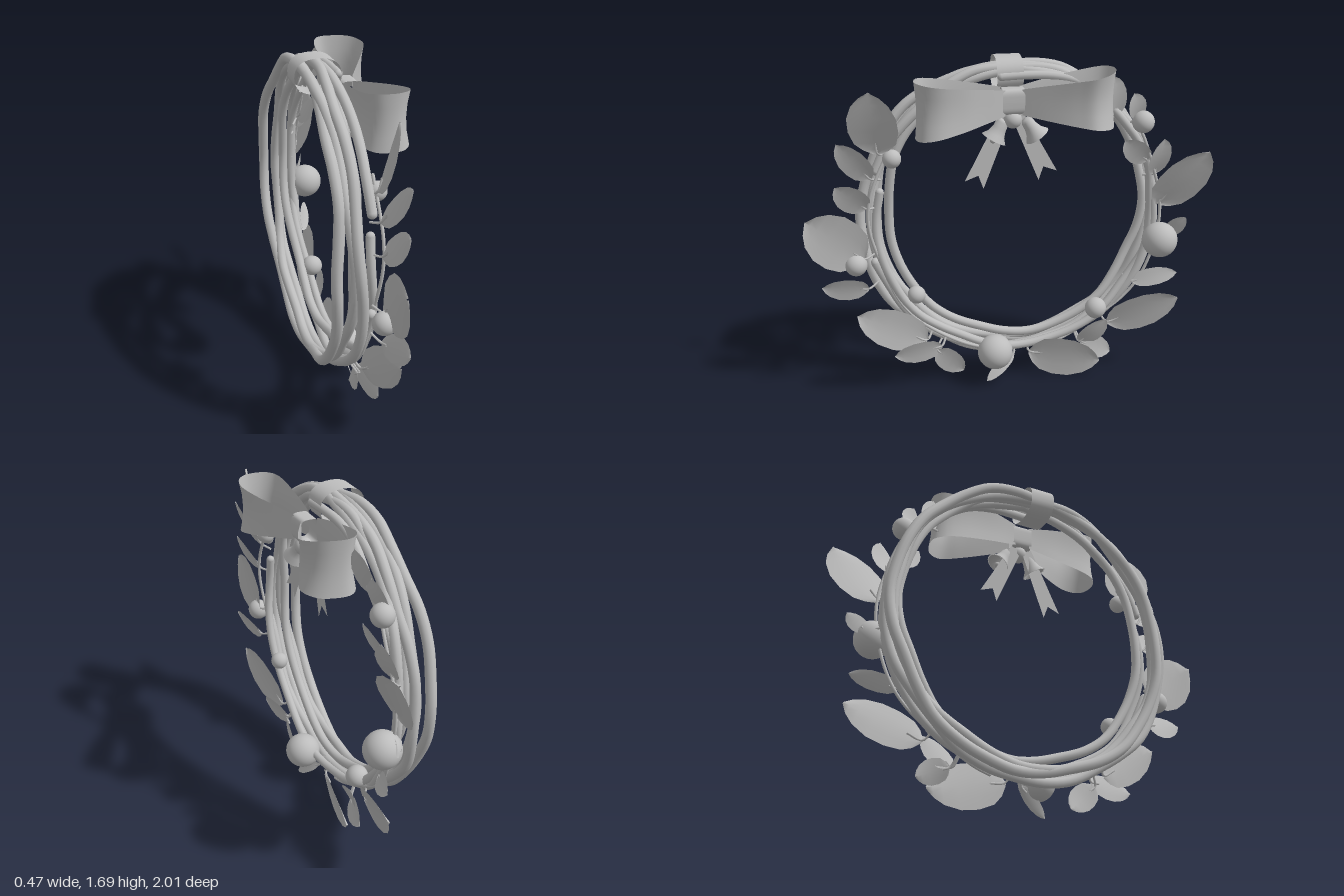
import * as THREE from 'three';

const grey = new THREE.MeshStandardMaterial({ color: 0xbdbdbd, side: THREE.DoubleSide });
grey.name = 'plain grey';
const V = (x, y, z) => new THREE.Vector3(x, y, z);

function add(parent, name, geometry) {
  const mesh = new THREE.Mesh(geometry, grey);
  mesh.name = name;
  parent.add(mesh);
  return mesh;
}

// Surface through equal-length rows of points
function loft(rows) {
  const n = rows[0].length, index = [];
  for (let i = 0; i < rows.length - 1; i++) {
    for (let j = 0; j < n - 1; j++) {
      const a = i * n + j, b = a + n;
      index.push(a, b, a + 1, a + 1, b, b + 1);
    }
  }
  const g = new THREE.BufferGeometry().setFromPoints(rows.flat());
  g.setIndex(index);
  g.computeVertexNormals();
  return g;
}

// Wobbly vine hoop facing +x, with rounded ends where it is left open
function addVine(parent, [x, cz, cy, rz, ry, radius, phase, from, to]) {
  const points = [], steps = 30;
  const closed = to - from > 6.28;
  for (let i = 0; i < (closed ? steps : steps + 1); i++) {
    const a = from + (to - from) * i / steps;
    const k = 1 + 0.012 * Math.sin(5 * a + phase) + 0.008 * Math.sin(9 * a + 2 * phase);
    points.push(V(x + 0.016 * Math.sin(2 * a + phase) + 0.007 * Math.sin(7 * a + phase),
      cy + ry * k * Math.sin(a), cz + rz * k * Math.cos(a)));
  }
  const curve = new THREE.CatmullRomCurve3(points, closed);
  add(parent, 'vine', new THREE.TubeGeometry(curve, 130, radius, 10, closed));
  if (!closed) {
    for (const p of [points[0], points[points.length - 1]]) {
      add(parent, 'vineEnd', new THREE.SphereGeometry(radius, 10, 8)).position.copy(p);
    }
  }
}

// Pointed oval leaf from base to tip, gently cupped and rolled about its midrib
function addLeaf(parent, [bz, by, tz, ty, width, tipX, roll]) {
  const leaf = new THREE.Group();
  leaf.name = 'leaf';
  const base = V(-0.03, by, bz), tip = V(tipX, ty, tz);
  const axis = tip.clone().sub(base);
  const side = V(1, 0, 0).cross(axis).normalize().applyAxisAngle(axis.clone().normalize(), roll);
  const normal = axis.clone().normalize().cross(side);
  const profile = [[0, 0.12], [0.07, 0.52], [0.18, 0.84], [0.38, 1], [0.6, 0.98], [0.8, 0.74], [0.92, 0.42], [1, 0.03]];
  const rows = profile.map(([t, w]) => [-1, -0.5, 0, 0.5, 1].map(s =>
    base.clone().addScaledVector(axis, t)
      .addScaledVector(side, s * w * width / 2)
      .addScaledVector(normal, 0.04 * width * s * s + 0.01 * Math.sin(t * Math.PI))));
  add(leaf, 'leafBlade', loft(rows));
  // Stalk running back into the vines
  const root = V(-0.06, 0.91 + (by - 0.91) * 0.93, -0.03 + (bz + 0.03) * 0.93);
  const stalk = new THREE.CatmullRomCurve3([root, base, base.clone().addScaledVector(axis, 0.2)]);
  add(leaf, 'leafStalk', new THREE.TubeGeometry(stalk, 8, 0.006, 6));
  parent.add(leaf);
}

// Bow loop: path in x and z, ribbon widening away from the knot, its edges flaring outwards
function addBowLoop(parent, path, centreY, tilt) {
  const curve = new THREE.CatmullRomCurve3(path.map(([x, z]) => V(x, 0, z)));
  const rows = curve.getPoints(44).map(p => {
    const t = Math.min(1, Math.abs(p.z) / 0.45);
    const half = 0.05 + 0.083 * Math.pow(t, 0.85);
    const y = centreY + tilt * t;
    return [-1, -0.5, 0, 0.5, 1].map(s => {
      const flare = 1.04 - 0.16 * t * (1 - s * s);
      return V(0.09 + (p.x - 0.09) * flare, y + s * half, p.z * (1 - 0.02 * t * (1 - s * s)));
    });
  });
  add(parent, 'bowLoop', loft(rows));
}

// Ribbon tail with a swallow-tail end
function addTail(parent, z0, y0, z1, y1, x0, x1) {
  const s = new THREE.Shape();
  const length = Math.hypot(z1 - z0, y1 - y0);
  [[-0.03, 0], [0.03, 0], [0.05, -length], [0, -length + 0.05], [-0.05, -length]]
    .forEach(([u, v], i) => i ? s.lineTo(u, v) : s.moveTo(u, v));
  const tail = add(parent, 'ribbonTail', new THREE.ShapeGeometry(s));
  const down = V(x1 - x0, y1 - y0, z1 - z0).normalize();
  const across = V(1, 0, 0).cross(down).normalize();
  const up = down.clone().negate();
  tail.quaternion.setFromRotationMatrix(new THREE.Matrix4().makeBasis(across, up, across.clone().cross(up)));
  tail.position.set(x0, y0, z0);
}

// Flared bell with clapper, hanging along its own -y
function addBell(parent, z, y, lean) {
  const bell = new THREE.Group();
  bell.name = 'bell';
  const profile = [[0, 0], [0.02, -0.002], [0.028, -0.015], [0.032, -0.045], [0.042, -0.078], [0.062, -0.105],
    [0.056, -0.105], [0.035, -0.075], [0.025, -0.04], [0, -0.01]];
  add(bell, 'bellCup', new THREE.LatheGeometry(profile.map(p => new THREE.Vector2(...p)), 24));
  add(bell, 'clapper', new THREE.SphereGeometry(0.015, 12, 8)).position.y = -0.112;
  bell.position.set(0.04, y, z);
  bell.rotation.x = lean;
  parent.add(bell);
}

export function createModel() {
  const model = new THREE.Group();
  model.name = 'wreath';
  const group = name => {
    const g = new THREE.Group();
    g.name = name;
    model.add(g);
    return g;
  };

  // Vines: x, centre z, centre y, z radius, y radius, thickness, phase, start, end
  const vines = group('vines');
  const full = Math.PI * 2;
  [
    [-0.192, -0.05, 0.9, 0.71, 0.735, 0.026, -1.3, 0, full],
    [-0.155, -0.03, 0.91, 0.705, 0.72, 0.025, 2.1, 0, full],
    [-0.12, -0.015, 0.9, 0.745, 0.75, 0.025, 3.6, 0, full],
    [-0.1, -0.045, 0.94, 0.645, 0.695, 0.023, 5.0, 0, full],
    [-0.068, -0.02, 0.9, 0.72, 0.735, 0.024, 1.2, 0.38, 6.0],
    [-0.04, -0.04, 0.91, 0.7, 0.71, 0.021, 4.3, 1.45, 6.5],
  ].forEach(v => addVine(vines, v));

  // Thin twigs carrying the leaves
  const twigs = group('twigs');
  [
    [-0.035, -0.03, 0.9, 0.715, 0.73, 0.008, 0.5, -1.4, 0.6],
    [-0.03, -0.03, 0.9, 0.74, 0.74, 0.008, 2.5, 2.45, 4.5],
  ].forEach(t => addVine(twigs, t));

  // Leaves: base z, base y, tip z, tip y, width, tip x, roll
  const leaves = group('leaves');
  [
    [0.635, 1.265, 0.665, 1.575, 0.24, 0.045, -0.3],
    [0.675, 1.14, 0.825, 1.34, 0.13, 0.05, -0.2],
    [0.7, 0.99, 0.845, 1.13, 0.14, 0.04, -0.2],
    [0.725, 0.73, 0.995, 0.94, 0.275, -0.03, 0],
    [0.71, 0.57, 0.935, 0.615, 0.13, 0.02, -0.3],
    [0.43, 0.26, 0.775, 0.46, 0.205, 0.04, 0.08],
    [0.355, 0.22, 0.6, 0.2, 0.13, 0.0, -0.25],
    [0.38, 0.2, 0.245, 0.07, 0.13, -0.03, 0.2],
    [-0.02, 0.145, 0.13, 0.02, 0.06, 0.02, 0.4],
    [-0.1, 0.15, -0.465, 0.095, 0.235, 0.03, 0.2],
    [-0.37, 0.18, -0.495, 0.33, 0.12, 0.03, 0.2],
    [-0.38, 0.18, -0.53, 0.125, 0.12, 0.0, -0.2],
    [-0.515, 0.285, -0.87, 0.43, 0.21, 0.04, 0.2],
    [-0.64, 0.51, -0.855, 0.575, 0.09, 0.05, -0.6],
    [-0.815, 0.765, -0.89, 0.87, 0.08, 0.04, -0.3],
    [-0.755, 0.93, -0.97, 1.225, 0.255, 0.085, 0.25],
    [-0.73, 1.09, -0.75, 1.29, 0.12, 0.05, 0.3],
    [-0.69, 1.16, -0.555, 1.285, 0.12, 0.03, -0.2],
    [-0.635, 1.38, -0.595, 1.515, 0.1, 0.02, 0.25],
    [-0.53, 1.4, -0.485, 1.605, 0.11, 0.04, 0.3],
  ].forEach(l => addLeaf(leaves, l));

  // Baubles and berries: x, y, z, radius
  const berries = group('berries');
  [
    [0.03, 0.755, -0.76, 0.09], [0.015, 0.185, 0.085, 0.09],
    [-0.01, 1.24, 0.57, 0.045], [-0.035, 0.7, 0.765, 0.055],
    [-0.03, 0.52, 0.475, 0.045], [-0.02, 0.375, -0.45, 0.055],
    [-0.005, 1.365, -0.655, 0.055], [0.045, 1.42, 0, 0.043],
  ].forEach(([x, y, z, r]) => {
    add(berries, r > 0.08 ? 'bauble' : 'berry', new THREE.SphereGeometry(r, 32, 20)).position.set(x, y, z);
  });

  // Bow, knot and the band tied round the vines
  const bow = group('bow');
  addBowLoop(bow, [[0, -0.04], [-0.015, -0.2], [0, -0.42], [0.05, -0.475], [0.14, -0.465], [0.2, -0.425],
    [0.228, -0.36], [0.2, -0.28], [0.14, -0.16], [0.075, -0.04]], 1.505, 0.015);
  addBowLoop(bow, [[0, 0.04], [-0.01, 0.2], [0, 0.41], [0.05, 0.455], [0.13, 0.46], [0.18, 0.425],
    [0.198, 0.36], [0.17, 0.25], [0.12, 0.14], [0.075, 0.04]], 1.505, -0.01);
  const ringStrip = (cx, cy, rx, ry, half, power) => loft(Array.from({ length: 37 }, (_, i) => {
    const a = i / 36 * full;
    const round = v => Math.sign(v) * Math.pow(Math.abs(v), power);
    return [-half, 0, half].map(z => V(cx + rx * round(Math.cos(a)), cy + ry * round(Math.sin(a)), z));
  }));
  add(bow, 'vineBand', ringStrip(-0.122, 1.61, 0.112, 0.084, 0.063, 0.85));
  add(bow, 'knot', ringStrip(0.037, 1.508, 0.046, 0.062, 0.052, 0.5));
  addTail(bow, 0.03, 1.43, 0.185, 1.1, 0.01, 0.03);
  addTail(bow, -0.03, 1.43, -0.175, 1.13, 0.01, 0.03);

  // Pair of bells under the knot
  const bells = group('bells');
  addBell(bells, 0.04, 1.42, -0.5);
  addBell(bells, -0.06, 1.42, 0.6);

  return model;
}
